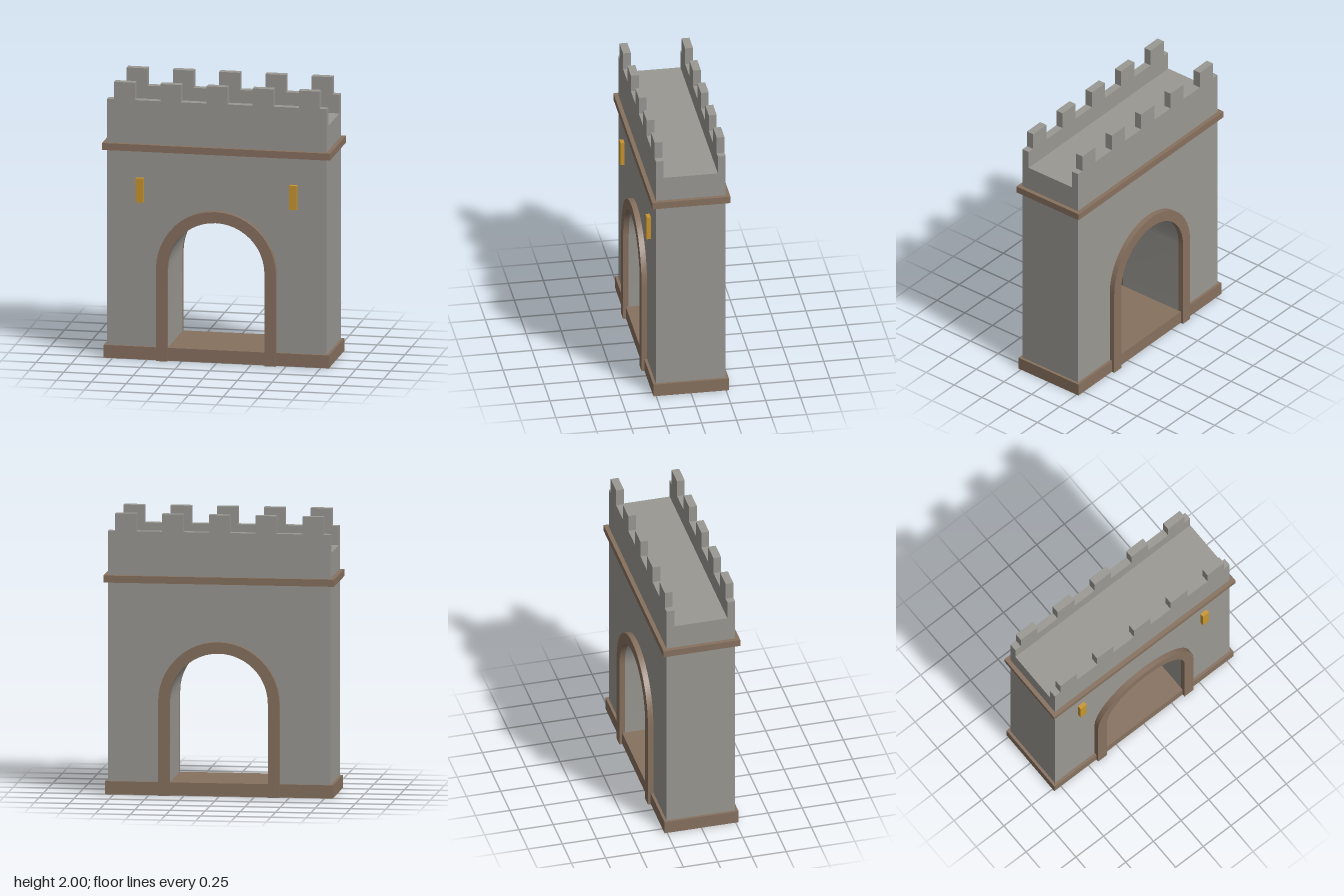
import * as THREE from 'three';
import { toCreasedNormals } from 'three/addons/utils/BufferGeometryUtils.js';

const SPRING = 0.67; // height where the arch curve starts
const ARCH_SEGMENTS = 12;

export function createModel() {
  const group = new THREE.Group();
  const stone = new THREE.MeshStandardMaterial({ name: 'grey stone', color: 0x9a9892 });
  const trim = new THREE.MeshStandardMaterial({ name: 'brown trim', color: 0x87715f });
  const gold = new THREE.MeshStandardMaterial({ name: 'gold', color: 0xc8962f });

  function add(name, geometry, material) {
    const mesh = new THREE.Mesh(geometry, material);
    mesh.name = name;
    group.add(mesh);
    return mesh;
  }

  // Box given by its centre in x and z, and its bottom and top
  function box(name, material, w, d, y0, y1, x = 0, z = 0) {
    const mesh = add(name, new THREE.BoxGeometry(w, y1 - y0, d), material);
    mesh.position.set(x, (y0 + y1) / 2, z);
  }

  // Upright outline with an arched doorway cut from its bottom edge
  function cutDoorway(shape, radius) {
    shape.lineTo(radius, 0);
    shape.lineTo(radius, SPRING);
    shape.absarc(0, SPRING, radius, 0, Math.PI, false);
    shape.lineTo(-radius, 0);
    return shape;
  }

  function extrude(shape, depth, z) {
    const geometry = new THREE.ExtrudeGeometry(shape, { depth, bevelEnabled: false, curveSegments: ARCH_SEGMENTS });
    geometry.translate(0, 0, z);
    return toCreasedNormals(geometry, 0.5);
  }

  // Gatehouse wall with its passage
  const wall = new THREE.Shape();
  wall.moveTo(-0.79, 0);
  wall.lineTo(-0.79, 1.74);
  wall.lineTo(0.79, 1.74);
  wall.lineTo(0.79, 0);
  add('gatehouseWall', extrude(cutDoorway(wall, 0.35), 0.5, -0.25), stone);

  // Plinth, also the passage floor, and the band below the parapets
  box('plinth', trim, 1.62, 0.54, 0.002, 0.095);
  box('stringCourse', trim, 1.64, 0.56, 1.51, 1.56);

  // Raised arch surrounds on both faces
  const surround = new THREE.Shape();
  surround.moveTo(-0.43, 0);
  surround.lineTo(-0.43, SPRING);
  surround.absarc(0, SPRING, 0.43, Math.PI, 0, true);
  surround.lineTo(0.43, 0);
  cutDoorway(surround, 0.35);
  add('frontArchSurround', extrude(surround, 0.04, 0.25), trim);
  add('backArchSurround', extrude(surround, 0.04, -0.29), trim);

  // Parapets and merlons along front and back
  for (const [side, z] of [['front', 0.222], ['back', -0.222]]) {
    box(side + 'Parapet', stone, 1.58, 0.056, 1.74, 1.875, 0, z);
    for (let i = -2; i <= 2; i++) {
      box(side + 'Merlon', stone, 0.15, 0.056, 1.875, 2, i * 0.3325, z);
    }
  }

  // Slit windows on the front
  for (const x of [-0.553, 0.553]) {
    box('slitWindow', gold, 0.054, 0.03, 1.14, 1.315, x, 0.264);
  }

  return group;
}
